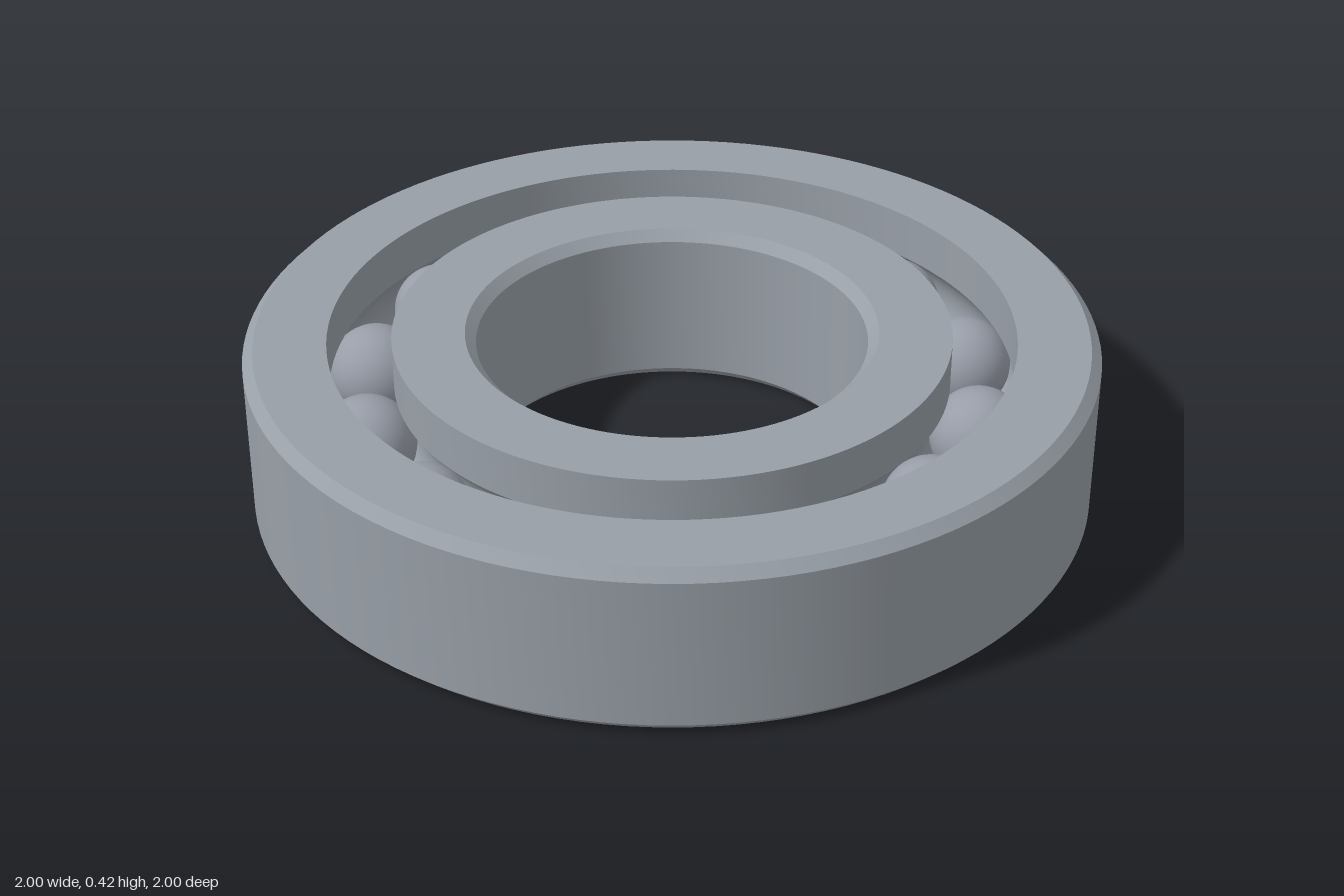
import * as THREE from 'three';
import { toCreasedNormals } from 'three/addons/utils/BufferGeometryUtils.js';

const HEIGHT = 0.416, CHAMFER = 0.025;
const PITCH = 0.73, BALL = 0.115, BALLS = 14;   // ball circle, ball radius, ball count
const GROOVE = 0.117, HALF_GAP = 0.075;         // raceway radius, half the gap between rings

const steel = new THREE.MeshStandardMaterial({ color: 0x989fa7 });
steel.name = 'ring steel';
const ballSteel = new THREE.MeshStandardMaterial({ color: 0x989da8 });
ballSteel.name = 'ball steel';

// Arc of the raceway; side +1 cuts the outer ring (downwards), -1 the inner ring (upwards)
function raceway(side) {
  const half = Math.acos(HALF_GAP / GROOVE), steps = 12, points = [];
  for (let i = 0; i <= steps; i++) {
    const t = side * half * (1 - 2 * i / steps);
    points.push([PITCH + side * GROOVE * Math.cos(t), HEIGHT / 2 + GROOVE * Math.sin(t)]);
  }
  return points;
}

// Closed profile, counter-clockwise, turned about the y axis
function ring(name, profile) {
  const points = [...profile, profile[0]].map(([x, y]) => new THREE.Vector2(x, y));
  const geometry = toCreasedNormals(new THREE.LatheGeometry(points, 128), 0.5);
  const mesh = new THREE.Mesh(geometry, steel);
  mesh.name = name;
  return mesh;
}

export function createModel() {
  const model = new THREE.Group();
  model.name = 'ballBearing';

  const outer = 1, bore = 0.459;
  const outerWall = PITCH + HALF_GAP, innerWall = PITCH - HALF_GAP;

  // Outer ring: chamfered rim outside, raceway inside
  model.add(ring('outerRing', [
    [outer - CHAMFER, 0], [outer, CHAMFER], [outer, HEIGHT - CHAMFER], [outer - CHAMFER, HEIGHT],
    [outerWall, HEIGHT], ...raceway(1), [outerWall, 0],
  ]));

  // Inner ring: raceway outside, chamfered bore inside
  model.add(ring('innerRing', [
    [innerWall, 0], ...raceway(-1), [innerWall, HEIGHT],
    [bore + CHAMFER, HEIGHT], [bore, HEIGHT - CHAMFER], [bore, CHAMFER], [bore + CHAMFER, 0],
  ]));

  // Balls evenly spaced in the raceway
  const balls = new THREE.Group();
  balls.name = 'balls';
  const ballGeometry = new THREE.SphereGeometry(BALL, 40, 24);
  for (let i = 0; i < BALLS; i++) {
    const angle = i / BALLS * Math.PI * 2 - 0.015;
    const ball = new THREE.Mesh(ballGeometry, ballSteel);
    ball.name = 'ball' + (i + 1);
    ball.position.set(PITCH * Math.sin(angle), HEIGHT / 2, -PITCH * Math.cos(angle));
    balls.add(ball);
  }
  model.add(balls);

  return model;
}
